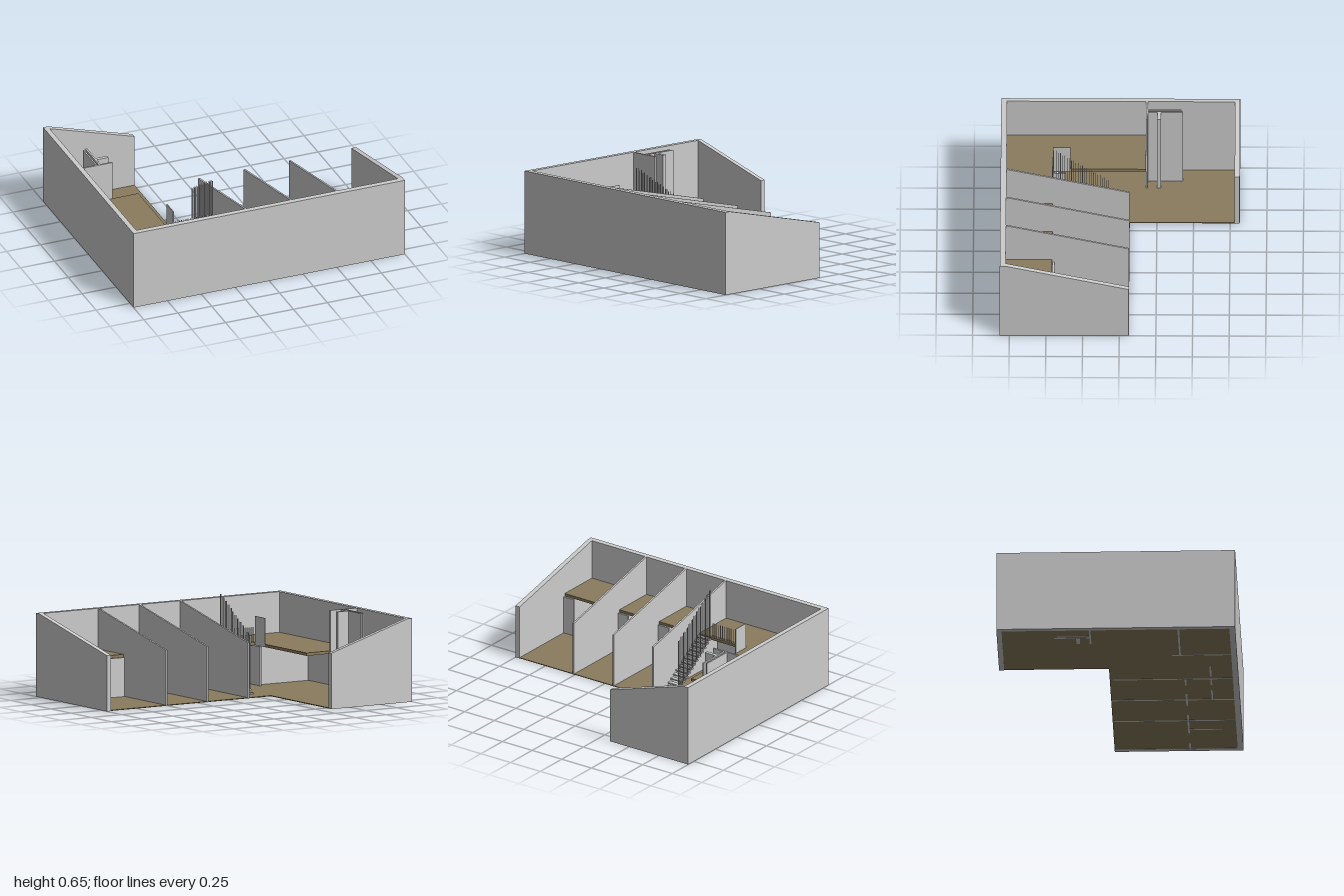
import * as THREE from 'three';

export function createModel() {
  const model = new THREE.Group();
  const grey = new THREE.MeshStandardMaterial({ color: 0xcccccc, flatShading: true });
  const brown = new THREE.MeshStandardMaterial({ color: 0x8a7c5e, flatShading: true });

  const add = (name, geometry, material = grey, parent = model) => {
    const mesh = new THREE.Mesh(geometry, material);
    mesh.name = name;
    parent.add(mesh);
    return mesh;
  };
  const group = (name) => {
    const g = new THREE.Group();
    g.name = name;
    model.add(g);
    return g;
  };
  // Box given by its limits on each axis
  const block = (name, [x0, x1], [y0, y1], [z0, z1], material, parent) => {
    const geometry = new THREE.BoxGeometry(x1 - x0, y1 - y0, z1 - z0);
    geometry.translate((x0 + x1) / 2, (y0 + y1) / 2, (z0 + z1) / 2);
    return add(name, geometry, material, parent);
  };
  const extrude = (points, depth) => new THREE.ExtrudeGeometry(
    new THREE.Shape(points.map(([a, b]) => new THREE.Vector2(a, b))),
    { depth, bevelEnabled: false });
  // Horizontal slab from an outline of x, z pairs
  const slab = (name, outline, y0, y1) => add(name,
    extrude(outline.map(([x, z]) => [x, -z]), y1 - y0).rotateX(-Math.PI / 2).translate(0, y0, 0), brown);
  // Wall across z whose top follows the falling roof line
  const slopedWall = (name, x, width) => add(name,
    extrude([[-0.775, 0], [0.065, 0], [0.065, 0.385], [-0.775, 0.575]], width)
      .rotateY(Math.PI / 2).translate(x, 0, 0));

  const H = 0.575;

  // Outer walls
  block('frontWall', [-1, 1], [0, H], [0.775, 0.815]);
  block('rightWall', [-1, -0.965], [0, H], [-0.815, 0.775]);
  slopedWall('leftWall', 0.965, 0.035);
  add('backWall', extrude([[-0.965, 0], [-0.34, 0], [-0.34, 0.385], [-0.965, H]], 0.035)
    .translate(0, 0, -0.815));

  // Partitions between the bays
  for (const x of [-0.165, 0.17, 0.505]) slopedWall('partition', x, 0.013);

  // Ground floor and upper floor
  slab('groundFloor', [[-0.965, 0.775], [0.965, 0.775], [0.965, -0.065], [-0.34, -0.065],
    [-0.34, -0.78], [-0.965, -0.78]], 0.001, 0.006);
  slab('upperFloor', [[-0.965, 0.775], [0.965, 0.775], [0.965, 0.46], [-0.56, 0.46],
    [-0.56, -0.175], [-0.965, -0.175]], 0.275, 0.295);
  block('upperFloorLanding', [-0.56, -0.165], [0.275, 0.2945], [0.46, 0.774], brown);

  // Tall closet walls
  const closet = group('closet');
  block('closetFront', [-0.965, -0.75], [0, H], [-0.185, -0.173], grey, closet);
  block('closetSide', [-0.87, -0.86], [0, H], [-0.415, -0.185], grey, closet);
  block('closetSide', [-0.848, -0.836], [0, H], [-0.425, -0.185], grey, closet);
  block('closetDivider', [-0.836, -0.75], [0, H], [-0.275, -0.25], grey, closet);

  // Room walls under the upper floor, with door openings
  const rooms = group('lowerRooms');
  const lower = [0, 0.275];
  for (const [a, b] of [[0.88, 0.965], [0.518, 0.72], [0.42, 0.505], [0.183, 0.27], [0.08, 0.17], [-0.152, -0.06]])
    block('roomWall', [a, b], lower, [0.445, 0.457], grey, rooms);
  for (const [a, b] of [[0.02, 0.17], [-0.152, -0.06], [-0.36, -0.2]])
    block('innerRoomWall', [a, b], lower, [0.62, 0.632], grey, rooms);
  block('bathroomWall', [0.65, 0.662], lower, [0.457, 0.68], grey, rooms);
  block('sideRoomWall', [-0.55, -0.538], lower, [0.37, 0.775], grey, rooms);
  block('sideRoomFront', [-0.965, -0.55], lower, [0.42, 0.432], grey, rooms);

  // Open stair with two balusters on each tread
  const stair = group('stair');
  const steps = 14, run = 0.42 / steps, rise = 0.285 / steps;
  for (let i = 0; i < steps; i++) {
    const z = 0.04 + i * run, y = (i + 1) * rise;
    block('tread', [-0.272, -0.165], [y - 0.01, y], [z, z + run], grey, stair);
    if (i > 0) for (const f of [0.25, 0.75]) {
      const c = z + f * run;
      block('baluster', [-0.272, -0.268], [y, y + 0.365], [c - 0.002, c + 0.002], grey, stair);
    }
  }

  // Landing railing and end panel
  const railing = group('landingRailing');
  for (let i = 0; i < 18; i++) {
    const x = -0.55 + i * 0.0158;
    block('railingPost', [x - 0.002, x + 0.002], [0.29, 0.4], [0.462, 0.466], grey, railing);
  }
  block('railingPanel', [-0.564, -0.558], [0.275, 0.475], [0.34, 0.46], grey, railing);

  return model;
}
